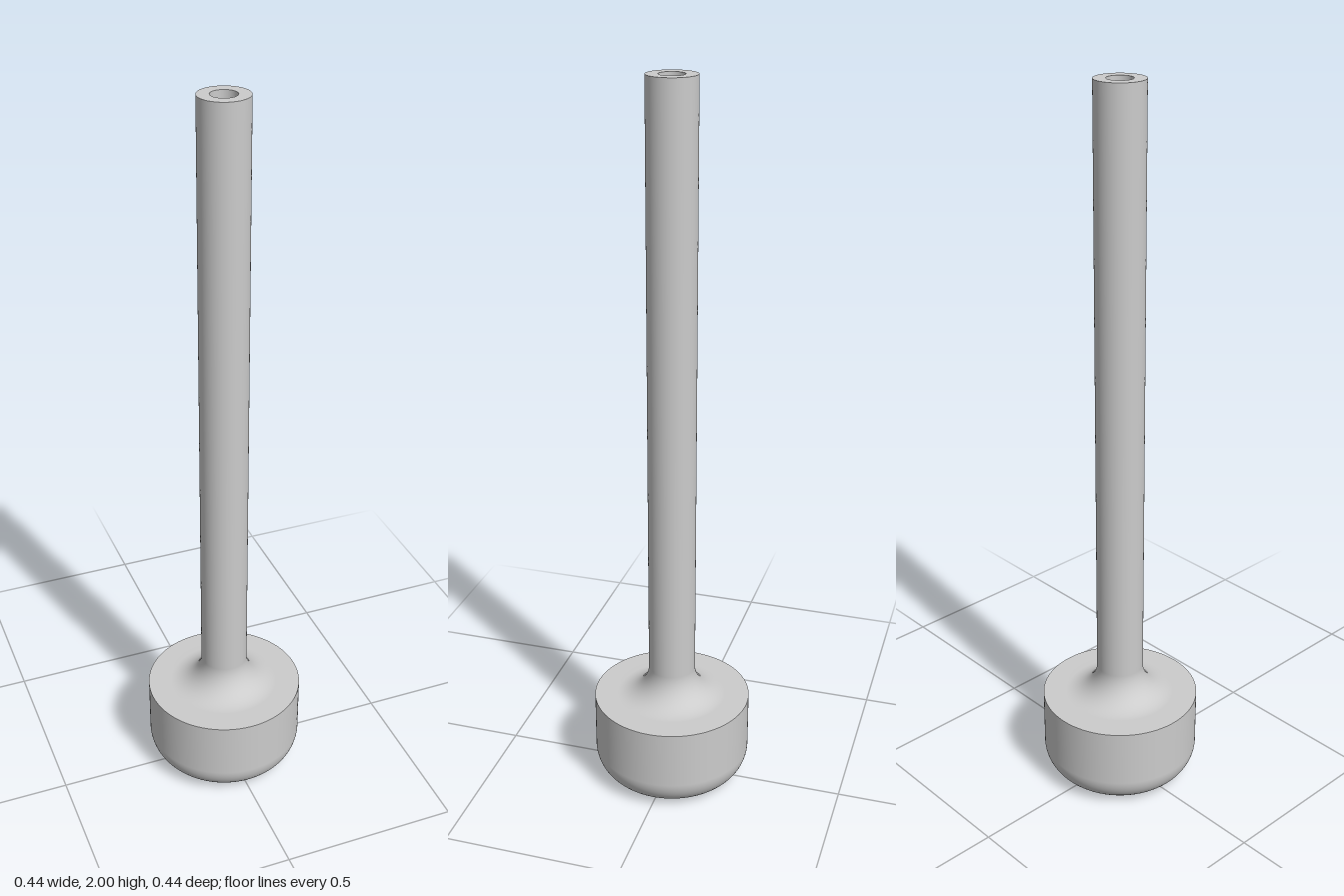
import * as THREE from 'three';

const BORE = 0.034, STEM = 0.066, HEAD = 0.222, SHOULDER = 0.255, TOP = 2, FILLET = 0.089;
const SEGMENTS = 96;

// Points along a circular arc in the (radius, height) plane
function arc(cx, cy, r, from, to, steps = 20) {
  return Array.from({ length: steps + 1 }, (_, i) => {
    const a = from + (to - from) * i / steps;
    return [cx + r * Math.cos(a), cy + r * Math.sin(a)];
  });
}

export function createModel() {
  const group = new THREE.Group();
  group.name = 'hollowStemWithHead';
  const material = new THREE.MeshStandardMaterial({ color: 0xcccccc });

  // Each smooth run of the profile is its own lathe, so edges between runs stay sharp
  function turn(name, points) {
    const profile = points.map(([r, y]) => new THREE.Vector2(r, y));
    const mesh = new THREE.Mesh(new THREE.LatheGeometry(profile, SEGMENTS), material);
    mesh.name = name;
    group.add(mesh);
  }

  // Head: flat underside, rounded lower edge, straight wall
  turn('head', [
    [BORE, 0],
    ...arc(HEAD - FILLET, FILLET, FILLET, -Math.PI / 2, 0),
    [HEAD, SHOULDER],
  ]);

  // Flat shoulder flowing through a concave fillet into the stem
  turn('shoulderAndStem', [
    [HEAD, SHOULDER],
    ...arc(STEM + FILLET, SHOULDER + FILLET, FILLET, -Math.PI / 2, -Math.PI),
    [STEM, TOP],
  ]);

  // Flat ring at the top of the stem
  turn('stemRim', [[STEM, TOP], [BORE, TOP]]);

  // Bore running the full height
  turn('bore', [[BORE, TOP], [BORE, 0]]);

  return group;
}
